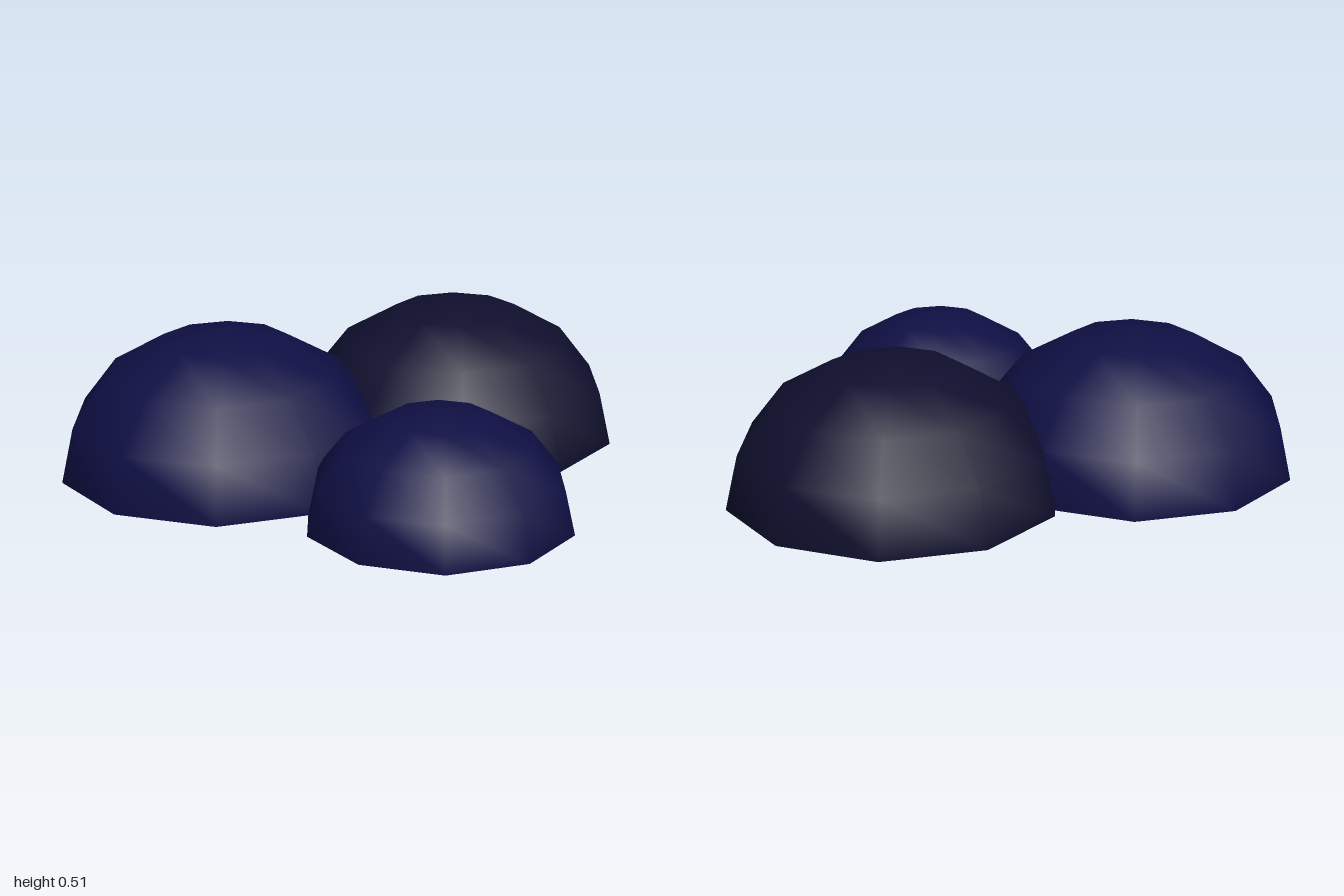
import * as THREE from 'three';

const SIDES = 10;
const FLATTEN = 0.85;

export function createModel() {
  const group = new THREE.Group();
  group.name = 'domeCluster';

  const navy = new THREE.MeshStandardMaterial({ color: 0x0f0f44 });
  navy.name = 'navy blue';
  const midnight = new THREE.MeshStandardMaterial({ color: 0x0f0f2e });
  midnight.name = 'midnight blue';

  // Shared unit hemisphere and its flat underside
  const shell = new THREE.SphereGeometry(1, SIDES, 4, 0, Math.PI * 2, 0, Math.PI / 2);
  const base = new THREE.CircleGeometry(1, SIDES).rotateX(Math.PI / 2);

  // Flattened dome standing on the ground
  function addDome(name, radius, x, z, material) {
    const dome = new THREE.Group();
    dome.name = name;
    const top = new THREE.Mesh(shell, material);
    top.name = name + 'Shell';
    const underside = new THREE.Mesh(base, material);
    underside.name = name + 'Base';
    dome.add(top, underside);
    dome.scale.set(radius, radius * FLATTEN, radius);
    dome.position.set(x, 0, z);
    group.add(dome);
  }

  addDome('backDome', 0.6, -0.4, -0.4, navy);
  addDome('leftDome', 0.6, 0.4, 0.06, midnight);
  addDome('frontDome', 0.465, -0.4, 0.524, navy);

  return group;
}
